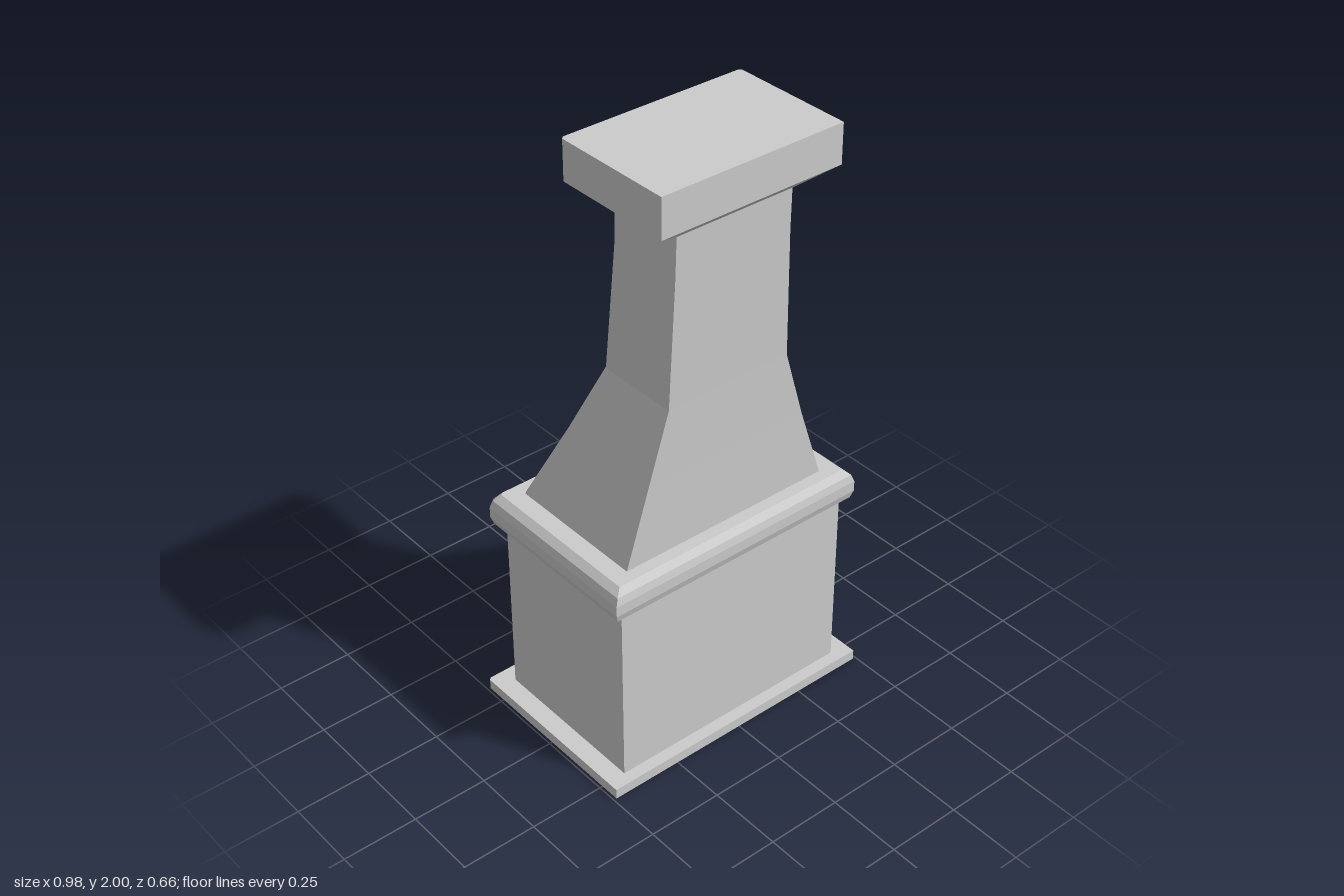
import * as THREE from 'three';

const material = new THREE.MeshStandardMaterial({ color: 0xcccccc, flatShading: true });

// Rectangular plan with slightly chamfered back corners
function plan([y, hx, back, front], c = 0.008) {
  return [
    [-hx, front], [hx, front], [hx, back + c],
    [hx - c, back], [-hx + c, back], [-hx, back + c],
  ].map(([x, z]) => [x, y, z]);
}

// Stacks sections [y, halfWidth, back, front] into a closed solid
function loft(sections, openBack = false) {
  const rings = sections.map((s) => plan(s));
  const pos = [];
  const tri = (a, b, c) => pos.push(...a, ...b, ...c);
  for (let i = 0; i < rings.length - 1; i++) {
    for (let j = 0; j < 6; j++) {
      if (openBack && j === 3) continue;
      const k = (j + 1) % 6;
      const lo = rings[i], hi = rings[i + 1];
      tri(lo[j], lo[k], hi[k]);
      tri(lo[j], hi[k], hi[j]);
    }
  }
  const bottom = rings[0], top = rings[rings.length - 1];
  for (let j = 1; j < 5; j++) {
    tri(bottom[0], bottom[j + 1], bottom[j]);
    tri(top[0], top[j], top[j + 1]);
  }
  const geometry = new THREE.BufferGeometry();
  geometry.setAttribute('position', new THREE.Float32BufferAttribute(pos, 3));
  geometry.computeVertexNormals();
  return geometry;
}

// Upright rectangular ring between two depths; rectangles are [halfWidth, y0, y1]
function ring(outer, inner, z0, z1) {
  const points = ([hx, y0, y1]) =>
    [[-hx, y0], [hx, y0], [hx, y1], [-hx, y1]].map((p) => new THREE.Vector2(...p));
  const shape = new THREE.Shape(points(outer));
  shape.holes.push(new THREE.Path(points(inner).reverse()));
  return new THREE.ExtrudeGeometry(shape, { depth: z1 - z0, bevelEnabled: false }).translate(0, 0, z0);
}

export function createModel() {
  const model = new THREE.Group();
  model.name = 'fireplace';
  const add = (name, geometry) => {
    const mesh = new THREE.Mesh(geometry, material);
    mesh.name = name;
    model.add(mesh);
  };

  add('basePlate', loft([[0, 0.49, -0.33, 0.317], [0.035, 0.49, -0.33, 0.317]]));

  // Firebox: outer walls, frame around the opening, inner lining and end wall
  add('fireboxWalls', loft([[0.035, 0.427, -0.28, 0.277], [0.655, 0.427, -0.28, 0.277]], true));
  add('openingFrame', ring([0.419, 0.035, 0.655], [0.375, 0.065, 0.625], -0.28, -0.25));
  add('fireboxLining', ring([0.42, 0.037, 0.653], [0.388, 0.052, 0.638], -0.25, 0.15));
  add('fireboxEndWall', new THREE.BoxGeometry(0.8, 0.6, 0.02).translate(0, 0.345, 0.16));

  // Mantel with a rounded edge
  add('mantel', loft([
    [0.65, 0.445, -0.295, 0.285],
    [0.66, 0.455, -0.303, 0.295],
    [0.685, 0.464, -0.312, 0.302],
    [0.72, 0.464, -0.312, 0.302],
    [0.745, 0.455, -0.305, 0.296],
    [0.765, 0.433, -0.291, 0.278],
  ]));

  // Tapering hood and flue
  add('hood', loft([
    [0.765, 0.374, -0.25, 0.238],
    [1.02, 0.291, -0.14, 0.237],
    [1.255, 0.22, -0.045, 0.241],
    [1.68, 0.206, -0.013, 0.252],
    [1.82, 0.205, -0.01, 0.256],
  ]));

  // Flared cap
  add('cap', loft([
    [1.81, 0.205, -0.01, 0.256],
    [1.872, 0.316, -0.088, 0.328],
    [2, 0.316, -0.088, 0.328],
  ]));

  return model;
}
